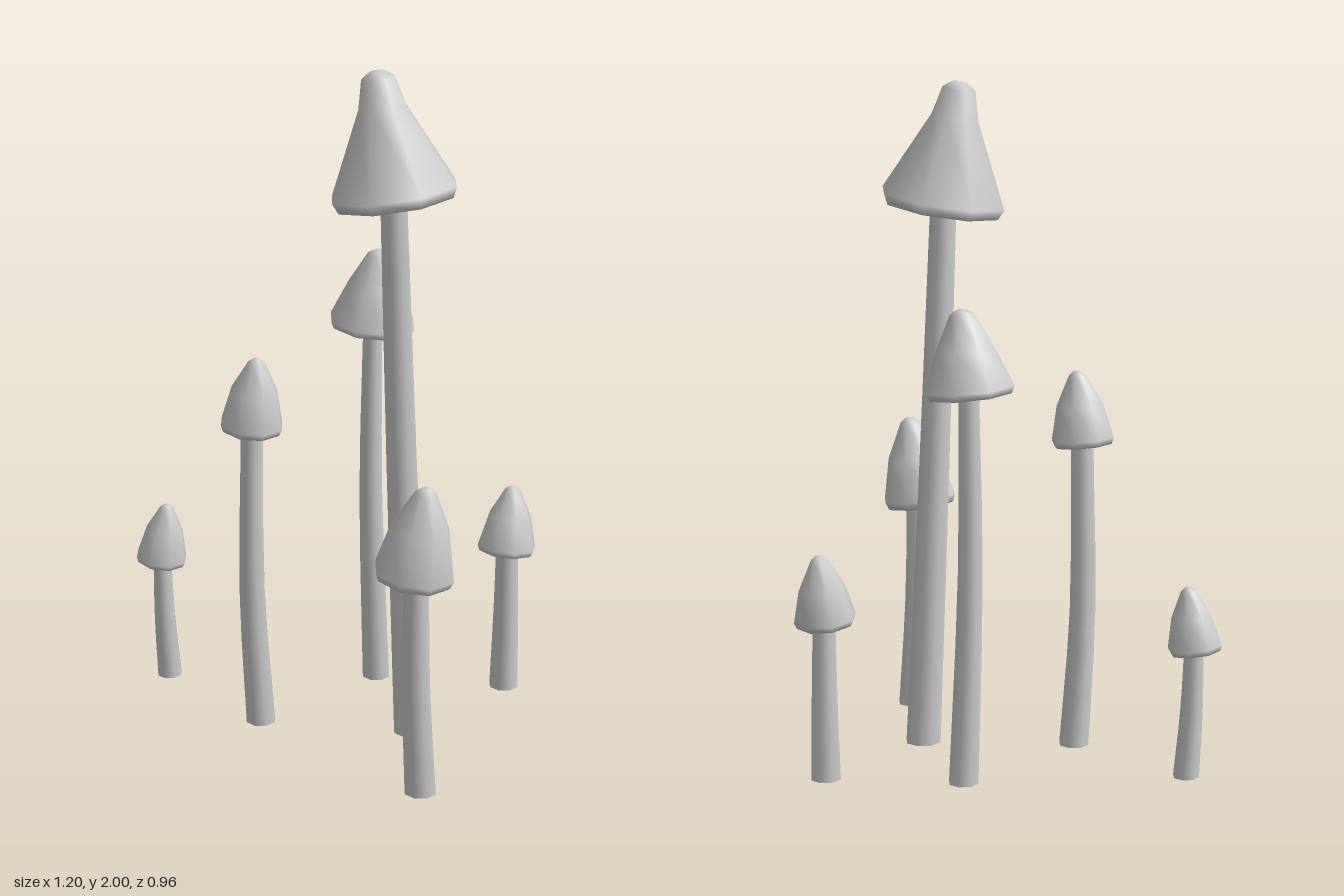
import * as THREE from 'three';

const SIDES = 8;

// stem: [x, y, z] points from ground to cap; cap: rim centre, radius, height,
// shoulder ring as fractions [radius, height], tilt [x, y, z]
const MUSHROOMS = [
  { stem: [[0.345, 0, 0.005], [0.305, 0.85, 0.008], [0.268, 1.72, 0.01]], r: [0.055, 0.04],
    rim: [0.27, 1.66, 0.005], radius: 0.19, height: 0.345, shoulder: [0.38, 0.69], tilt: [0, 0, 0.16] },
  { stem: [[0.105, 0, -0.322], [0.082, 0.62, -0.322], [0.085, 1.22, -0.32]], r: [0.045, 0.03],
    rim: [0.082, 1.165, -0.323], radius: 0.135, height: 0.225, shoulder: [0.65, 0.5], tilt: [0, 0, -0.1] },
  { stem: [[-0.1, 0, 0.115], [-0.126, 0.42, 0.115], [-0.122, 1.0, 0.115]], r: [0.046, 0.034],
    rim: [-0.126, 0.948, 0.11], radius: 0.096, height: 0.205, shoulder: [0.75, 0.5], tilt: [0.03, 0, -0.1] },
  { stem: [[0.507, 0, 0.365], [0.489, 0.34, 0.365], [0.485, 0.74, 0.365]], r: [0.048, 0.037],
    rim: [0.48, 0.677, 0.365], radius: 0.118, height: 0.255, shoulder: [0.74, 0.5], tilt: [0, 0, -0.13] },
  { stem: [[0.5, 0, -0.405], [0.503, 0.25, -0.4], [0.505, 0.53, -0.388]], r: [0.046, 0.034],
    rim: [0.504, 0.478, -0.385], radius: 0.092, height: 0.19, shoulder: [0.74, 0.5], tilt: [-0.12, -0.17, -0.05] },
  { stem: [[-0.498, 0, -0.078], [-0.512, 0.2, -0.078], [-0.518, 0.43, -0.078]], r: [0.039, 0.028],
    rim: [-0.52, 0.396, -0.079], radius: 0.081, height: 0.178, shoulder: [0.74, 0.5], tilt: [0, 0, -0.13] },
];

// Tapered cylinder whose rings are shifted along a gently bent centreline
function makeStem({ stem, r }) {
  const curve = new THREE.CatmullRomCurve3(stem.map((p) => new THREE.Vector3(...p)));
  const geometry = new THREE.CylinderGeometry(r[1], r[0], 1, SIDES, 6);
  const pos = geometry.attributes.position;
  for (let i = 0; i < pos.count; i++) {
    const c = curve.getPoint(THREE.MathUtils.clamp(pos.getY(i) + 0.5, 0, 1));
    pos.setXYZ(i, pos.getX(i) + c.x, c.y, pos.getZ(i) + c.z);
  }
  return geometry;
}

// Bell-shaped cap with a rolled rim and a hollow underside
function makeCap({ radius, height, shoulder }) {
  const profile = [
    [0, 0.12], [0.45, 0.06], [0.78, -0.1], [0.92, -0.09], [1, 0],
    shoulder, [0.27, 0.93], [0.12, 0.99], [0, 1],
  ];
  return new THREE.LatheGeometry(
    profile.map(([x, y]) => new THREE.Vector2(x * radius, y * height)), SIDES);
}

export function createModel() {
  const model = new THREE.Group();
  model.name = 'mushroomCluster';
  const material = new THREE.MeshStandardMaterial({ color: 0xcccccc });

  MUSHROOMS.forEach((spec, i) => {
    const mushroom = new THREE.Group();
    mushroom.name = `mushroom${i + 1}`;

    const stem = new THREE.Mesh(makeStem(spec), material);
    stem.name = 'stem';

    const cap = new THREE.Mesh(makeCap(spec), material);
    cap.name = 'cap';
    cap.position.set(...spec.rim);
    cap.rotation.set(...spec.tilt);

    mushroom.add(stem, cap);
    model.add(mushroom);
  });
  return model;
}
